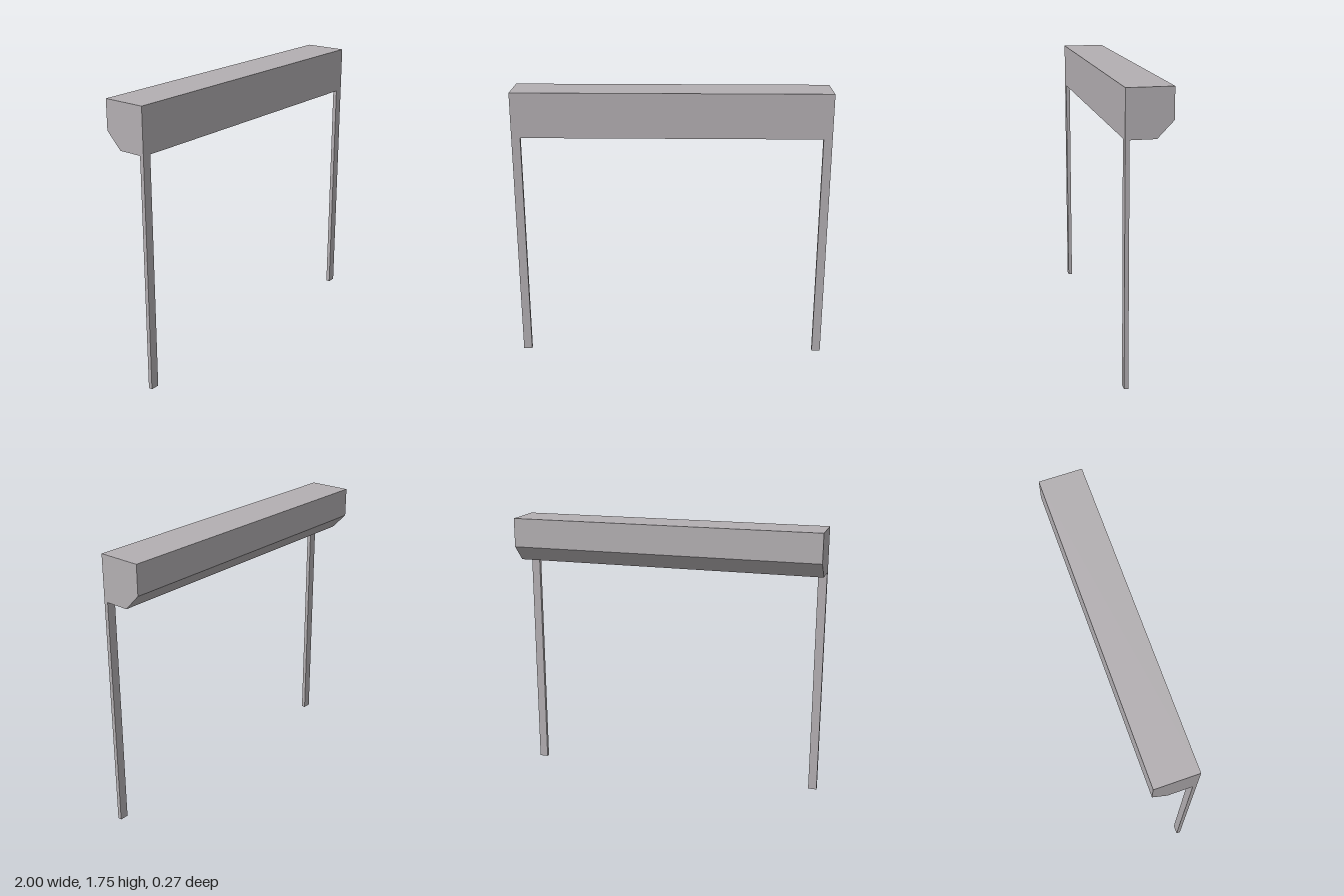
import * as THREE from 'three';

const WIDTH = 2, TOP = 1.755, UNDERSIDE = 1.47;
const FRONT = 0.137, BACK = -0.137;
const LEG_WIDTH = 0.055, LEG_DEPTH = 0.025;

export function createModel() {
  const model = new THREE.Group();
  model.name = 'awningFrame';
  const grey = new THREE.MeshStandardMaterial({ color: 0xb3afb2 });
  grey.name = 'warm grey';

  // Long housing: side profile (drawn as -z, y) with a chamfered lower back edge
  const profile = new THREE.Shape([
    [-FRONT, UNDERSIDE], [0.04, UNDERSIDE], [-BACK, 1.57], [-BACK, TOP], [-FRONT, TOP],
  ].map(([x, y]) => new THREE.Vector2(x, y)));
  const housingGeometry = new THREE.ExtrudeGeometry(profile, { depth: WIDTH, bevelEnabled: false });
  housingGeometry.translate(0, 0, -WIDTH / 2).rotateY(Math.PI / 2);
  const housing = new THREE.Mesh(housingGeometry, grey);
  housing.name = 'housing';
  model.add(housing);

  // Two slim legs flush with the front and the ends
  const legGeometry = new THREE.BoxGeometry(LEG_WIDTH, UNDERSIDE, LEG_DEPTH);
  for (const side of [1, -1]) {
    const leg = new THREE.Mesh(legGeometry, grey);
    leg.name = side > 0 ? 'leftLeg' : 'rightLeg';
    leg.position.set(side * (WIDTH - LEG_WIDTH) / 2, UNDERSIDE / 2, FRONT - LEG_DEPTH / 2);
    model.add(leg);
  }
  return model;
}
